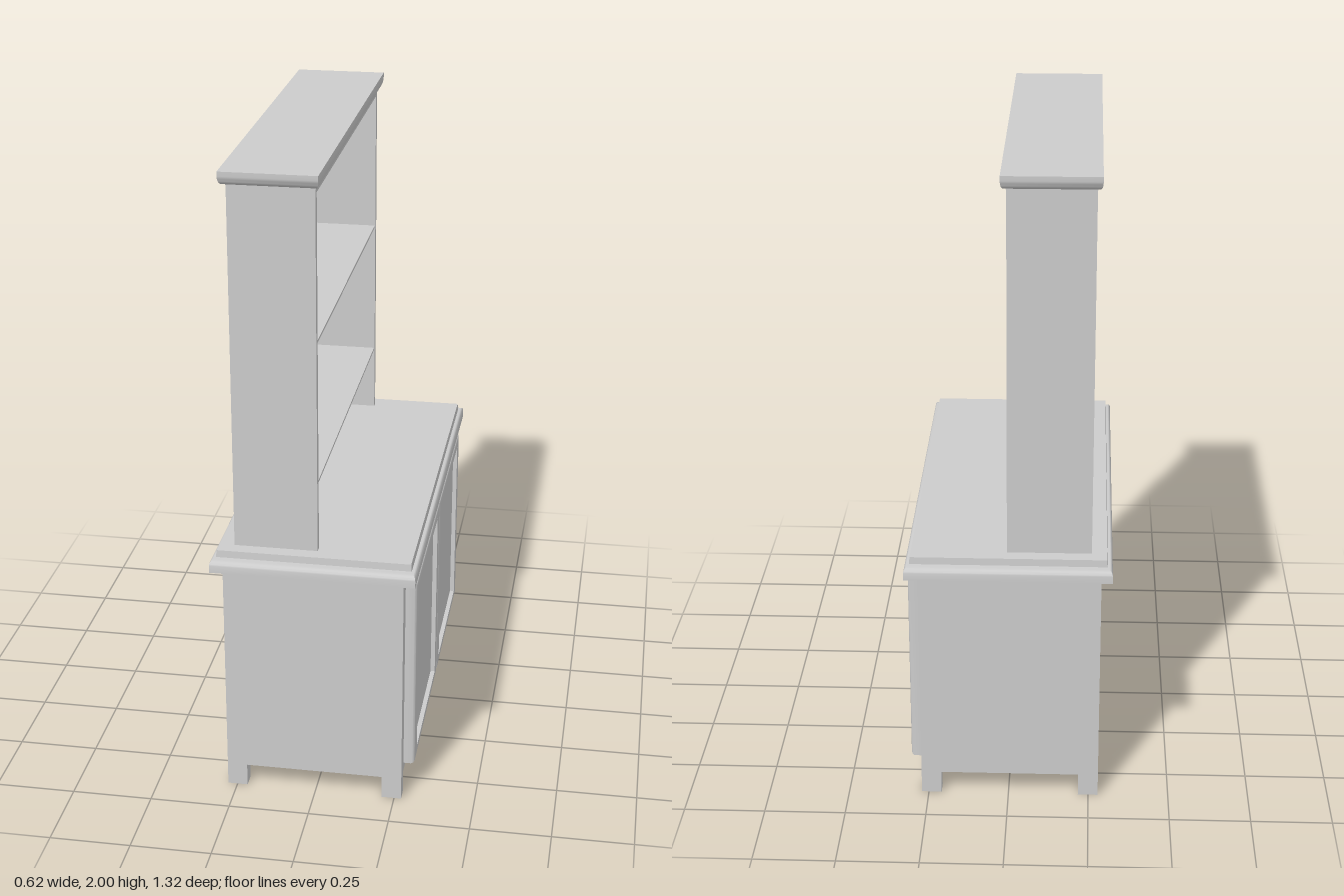
import * as THREE from 'three';
import { toCreasedNormals } from 'three/addons/utils/BufferGeometryUtils.js';

const material = new THREE.MeshStandardMaterial({ color: 0xcccccc });

// Solid lofted through rectangles [height, halfX, halfZ], closed at both ends
function loftRects(rings) {
  const pos = [], index = [];
  rings.forEach(([y, a, b]) => pos.push(a, y, b, a, y, -b, -a, y, -b, -a, y, b));
  for (let r = 0; r < rings.length - 1; r++) {
    for (let i = 0; i < 4; i++) {
      const p = r * 4 + i, q = r * 4 + (i + 1) % 4;
      index.push(p, q, q + 4, p, q + 4, p + 4);
    }
  }
  const t = (rings.length - 1) * 4;
  index.push(t, t + 1, t + 2, t, t + 2, t + 3, 0, 2, 1, 0, 3, 2);
  const geo = new THREE.BufferGeometry();
  geo.setAttribute('position', new THREE.Float32BufferAttribute(pos, 3));
  geo.setIndex(index);
  return toCreasedNormals(geo, 0.6);
}

function add(parent, name, geo, x = 0, y = 0, z = 0) {
  const mesh = new THREE.Mesh(geo, material);
  mesh.name = name;
  mesh.position.set(x, y, z);
  parent.add(mesh);
  return mesh;
}

// Box given by its limits on each axis
function box(parent, name, [x0, x1], [y0, y1], [z0, z1]) {
  return add(parent, name, new THREE.BoxGeometry(x1 - x0, y1 - y0, z1 - z0),
    (x0 + x1) / 2, (y0 + y1) / 2, (z0 + z1) / 2);
}

// Points of a quarter round, t from 0 to 1
const quarter = (n) => Array.from({ length: n + 1 }, (_, i) => {
  const a = (i / n) * Math.PI / 2;
  return [Math.sin(a), 1 - Math.cos(a)];
});

// Door facing +x with rounded edges and a sunken panel
function doorGeometry(height, width) {
  const h = height / 2, w = width / 2, r = 0.012, front = 0.035;
  const rings = [[0, h, w]];
  quarter(5).forEach(([s, c]) => rings.push([front - r + r * s, h - r * c, w - r * c]));
  rings.push([front, h - 0.032, w - 0.055], [front - 0.014, h - 0.032, w - 0.055]);
  return loftRects(rings).rotateZ(-Math.PI / 2);
}

export function createModel() {
  const model = new THREE.Group();
  model.name = 'dresser';

  // Lower cabinet on four square feet
  const cabinet = new THREE.Group();
  cabinet.name = 'cabinet';
  model.add(cabinet);
  box(cabinet, 'cabinetBody', [-0.28, 0.272], [0.073, 0.765], [-0.623, 0.623]);
  for (const s of [-1, 1]) {
    const z = s > 0 ? [0.577, 0.623] : [-0.623, -0.577];
    box(cabinet, 'backFoot', [-0.28, -0.218], [0, 0.073], z);
    box(cabinet, 'frontFoot', [0.21, 0.272], [0, 0.073], z);
    add(cabinet, 'door', doorGeometry(0.634, 0.573), 0.272, 0.418, s * 0.288);
  }

  // Worktop with a moulded edge
  const top = [[0.765, 0.312, 0.66], [0.788, 0.312, 0.66]];
  quarter(5).forEach(([s, c]) => top.push([0.788 + 0.014 * s, 0.312 - 0.010 * c, 0.66 - 0.022 * c]));
  top.push([0.803, 0.297, 0.627], [0.825, 0.295, 0.625]);
  add(cabinet, 'worktop', loftRects(top), -0.001);

  // Open shelf unit
  const hutch = new THREE.Group();
  hutch.name = 'shelfUnit';
  model.add(hutch);
  const depth = [-0.25, 0.005];
  box(hutch, 'sidePanel', depth, [0.825, 1.955], [0.56, 0.582]);
  box(hutch, 'sidePanel', depth, [0.825, 1.955], [-0.582, -0.56]);
  box(hutch, 'backPanel', [-0.25, -0.24], [0.825, 1.955], [-0.56, 0.56]);
  box(hutch, 'topPanel', depth, [1.935, 1.955], [-0.56, 0.56]);
  for (const y of [1.04, 1.485]) {
    box(hutch, 'shelf', [-0.24, 0.003], [y - 0.004, y + 0.004], [-0.56, 0.56]);
  }

  // Crown moulding: small step, then a quarter round flaring out to a flat lip
  const crown = [[1.95, 0.129, 0.584], [1.956, 0.129, 0.584]];
  quarter(6).forEach(([s, c]) => crown.push([1.956 + 0.03 * c, 0.131 + 0.012 * s, 0.59 + 0.035 * s]));
  crown.push([2, 0.143, 0.625]);
  add(hutch, 'crown', loftRects(crown), -0.122);

  return model;
}
